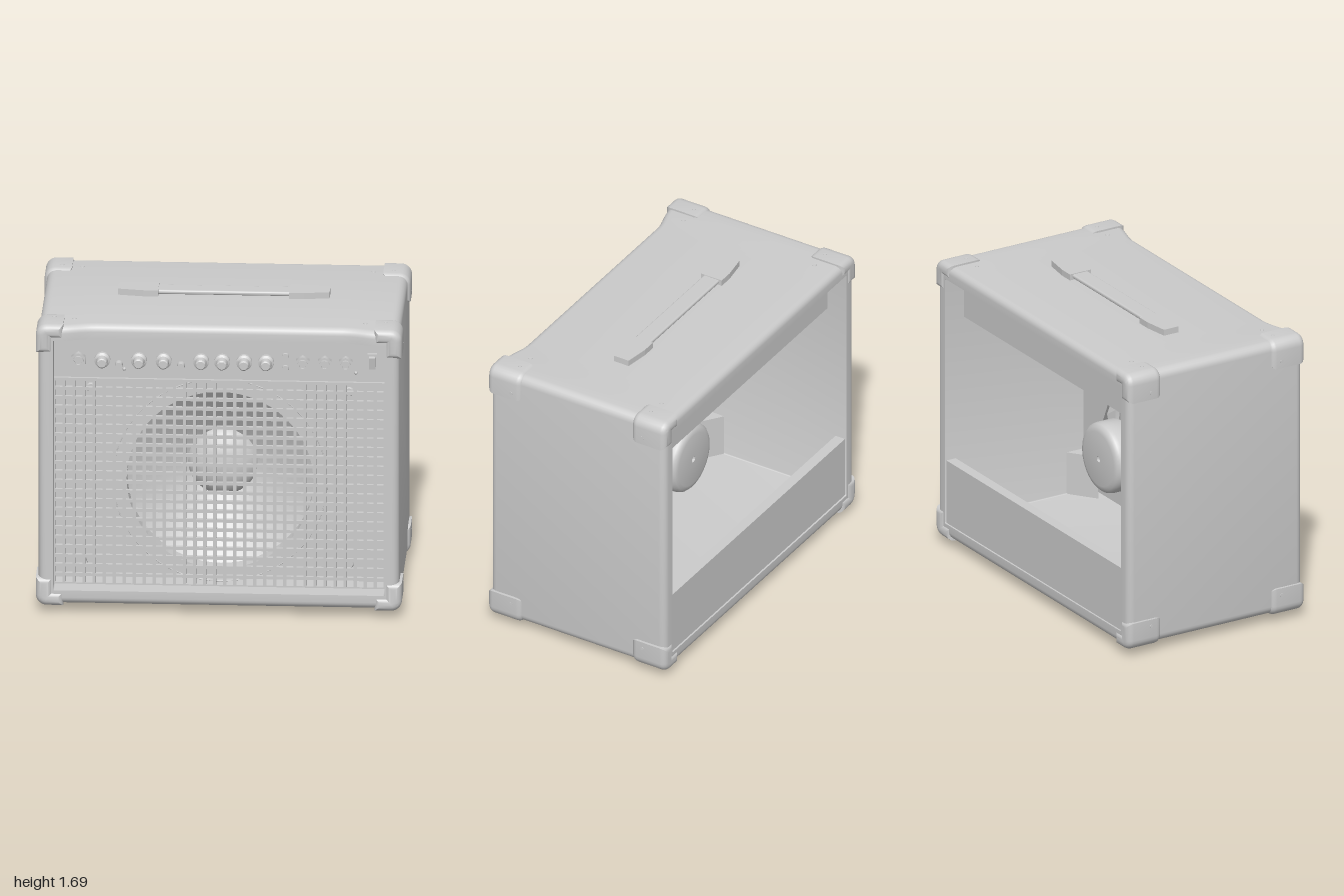
import * as THREE from 'three';
import { toCreasedNormals } from 'three/addons/utils/BufferGeometryUtils.js';
import { RoundedBoxGeometry } from 'three/addons/geometries/RoundedBoxGeometry.js';

const grey = new THREE.MeshStandardMaterial({ color: 0xcccccc });
const greyOpen = new THREE.MeshStandardMaterial({ color: 0xcccccc, side: THREE.DoubleSide });
const SPEAKER_Y = 0.735;

function add(parent, name, geometry, x = 0, y = 0, z = 0, material = grey) {
  const mesh = new THREE.Mesh(geometry, material);
  mesh.name = name;
  mesh.position.set(x, y, z);
  parent.add(mesh);
  return mesh;
}
const box = (w, h, d) => new THREE.BoxGeometry(w, h, d);
// Cylinder lying along z, its base at z = 0
const rod = (rBack, rFront, length, sides = 24) =>
  new THREE.CylinderGeometry(rFront, rBack, length, sides).rotateX(Math.PI / 2).translate(0, 0, length / 2);
// Lathe turned so that profile [radius, z] runs along z
const latheZ = (points, sides = 48, start = 0, sweep = Math.PI * 2) =>
  new THREE.LatheGeometry(points.map(p => new THREE.Vector2(...p)), sides, start, sweep).rotateX(Math.PI / 2);
const polygon = points => new THREE.Shape(points.map(p => new THREE.Vector2(...p)));
const rectangle = (x0, y0, x1, y1) => polygon([[x0, y0], [x1, y0], [x1, y1], [x0, y1]]);
const extrude = (shape, depth) => new THREE.ExtrudeGeometry(shape, { depth, bevelEnabled: false, curveSegments: 32 });

// Counter-clockwise rounded outline of the cabinet, moved inwards by d
function outline(d) {
  const w = 0.985 - d, h = 0.8025 - d, r = Math.max(0.05 - d, 0.006), points = [];
  const topEdge = [0.88, 0.85, 0.82, 0.79, 0.76, 0.73, 0.7, 0.67];
  [[1, 1, 0], [-1, 1, 1], [-1, -1, 2], [1, -1, 3]].forEach(([sx, sy, quarter]) => {
    for (let k = 0; k <= 6; k++) {
      const a = (quarter + k / 6) * Math.PI / 2;
      points.push([sx * (w - r) + r * Math.cos(a), 0.8525 + sy * (h - r) + r * Math.sin(a)]);
    }
    if (quarter === 0) [...topEdge, ...topEdge.map(x => -x).reverse()].forEach(x => points.push([x, 0.8525 + h]));
  });
  return points;
}

// Open box lofted from outlines; the front of the top panel is scooped back
function cabinetGeometry() {
  const sections = [], bevel = 0.04;
  for (let k = 0; k <= 5; k++) {
    const a = k / 5 * Math.PI / 2;
    sections.push([bevel * (1 - Math.sin(a)), -0.518 - bevel * Math.cos(a)]);
  }
  for (let k = 0; k <= 5; k++) {
    const a = k / 5 * Math.PI / 2;
    sections.push([bevel * (1 - Math.cos(a)), 0.522 + bevel * Math.sin(a)]);
  }
  sections.push([0.08, 0.562], [0.08, -0.558]);
  const position = [], index = [], n = outline(0).length, m = sections.length;
  for (const [d, z] of sections) {
    for (const [x, y] of outline(d)) {
      const scoop = y > 1.5 && z > 0.4 ? 0.042 * (1 - THREE.MathUtils.smoothstep(Math.abs(x), 0.67, 0.88)) : 0;
      position.push(x, y, z - scoop);
    }
  }
  for (let j = 0; j < m; j++) {
    for (let i = 0; i < n; i++) {
      const i2 = (i + 1) % n, j2 = (j + 1) % m;
      const a = j * n + i, b = j * n + i2, c = j2 * n + i2, e = j2 * n + i;
      index.push(a, b, c, a, c, e);
    }
  }
  const geometry = new THREE.BufferGeometry();
  geometry.setAttribute('position', new THREE.Float32BufferAttribute(position, 3));
  geometry.setIndex(index);
  return toCreasedNormals(geometry, 0.6);
}

// L-shaped corner cap with rounded outer edges
function cornerGeometry(sx, sy) {
  const points = [[0.85, 0.733], [0.907, 0.733], [0.907, 0.65], [1, 0.65]];
  for (let k = 0; k <= 6; k++) {
    const a = k / 6 * Math.PI / 2;
    points.push([0.94 + 0.06 * Math.cos(a), 0.753 + 0.06 * Math.sin(a)]);
  }
  points.push([0.85, 0.813]);
  const b = 0.036;
  const geometry = new THREE.ExtrudeGeometry(polygon(points.map(([x, y]) => [x * sx, y * sy])), {
    depth: 0.22 - 2 * b, bevelThickness: b, bevelSize: b, bevelOffset: -b, bevelSegments: 5 });
  return toCreasedNormals(geometry.translate(0, 0, b - 0.11), 0.6);
}

function buildSpeaker() {
  const speaker = new THREE.Group();
  speaker.name = 'speaker';
  speaker.position.y = SPEAKER_Y;
  add(speaker, 'speakerCone', latheZ([[0.17, 0.1], [0.27, 0.16], [0.38, 0.235], [0.46, 0.295], [0.515, 0.335]]), 0, 0, 0, greyOpen);
  add(speaker, 'dustCap', latheZ([[0.19, 0.112], [0.17, 0.15], [0.12, 0.18], [0.06, 0.197], [0, 0.202]]), 0, 0, 0, greyOpen);
  add(speaker, 'speakerRim', toCreasedNormals(latheZ([[0.53, 0.335], [0.53, 0.305], [0.575, 0.305], [0.583, 0.312], [0.583, 0.335]]), 0.5), 0, 0, 0, greyOpen);
  add(speaker, 'frontRing', new THREE.TorusGeometry(0.585, 0.003, 6, 64), 0, 0, 0.42);
  // Flat basket arms with open windows between them
  for (let k = 0; k < 8; k++) {
    add(speaker, 'basketArm', toCreasedNormals(latheZ([[0.17, 0.01], [0.24, 0.025], [0.56, 0.306]], 1, k * Math.PI / 4, 0.45), 0.3), 0, 0, 0, greyOpen);
  }
  add(speaker, 'basketHub', rod(0.16, 0.18, 0.09, 32), 0, 0, 0.01);
  const magnet = [[0, -0.12], [0.018, -0.12], [0.018, -0.135], [0.155, -0.135], [0.18, -0.128], [0.195, -0.112], [0.2, -0.09], [0.2, 0], [0.185, 0.03], [0, 0.03]];
  add(speaker, 'magnet', toCreasedNormals(latheZ(magnet), 0.6), 0, 0, 0, greyOpen);
  return speaker;
}

function buildControls() {
  const controls = new THREE.Group();
  controls.name = 'controls';
  const z = 0.465, y = 1.44;
  add(controls, 'controlPanel', box(1.81, 0.25, 0.03), 0, 1.452, 0.45);
  add(controls, 'panelLip', box(1.81, 0.014, 0.04), 0, 1.327, 0.462);
  const knob = toCreasedNormals(latheZ([[0.043, 0], [0.043, 0.022], [0.031, 0.03], [0.028, 0.074], [0.022, 0.08], [0, 0.08]], 24), 0.5);
  for (const x of [-0.64, -0.44, -0.305, -0.1, 0.015, 0.135, 0.255]) add(controls, 'knob', knob, x, y, z);
  const collar = toCreasedNormals(latheZ([[0.028, 0], [0.028, 0.05], [0.019, 0.05], [0.019, 0]], 20), 0.5);
  for (const x of [-0.77, 0.455, 0.575, 0.69]) {
    add(controls, 'jackNut', rod(0.043, 0.043, 0.035, 6), x, y, z);
    add(controls, 'jackCollar', collar, x, y, z);
  }
  for (const x of [-0.55, -0.21]) add(controls, 'pushButton', rod(0.022, 0.019, 0.035, 16), x, 1.413, z);
  for (const dy of [1.475, 1.405]) add(controls, 'smallSocket', rod(0.02, 0.018, 0.014, 16), 0.36, dy, z);
  for (const x of [-0.52, 0.745]) add(controls, 'indicator', new THREE.SphereGeometry(0.01, 10, 8), x, 1.385, z);
  add(controls, 'switchFrame', box(0.052, 0.095, 0.03), 0.835, 1.455, z + 0.012);
  add(controls, 'switchRocker', box(0.034, 0.07, 0.024), 0.835, 1.455, z + 0.025).rotation.x = 0.2;
  return controls;
}

function buildHandle() {
  const handle = new THREE.Group();
  handle.name = 'handle';
  handle.position.set(0, 1.65, -0.028);
  for (const s of [-1, 1]) {
    const plan = polygon([[0.358, -0.067], [0.44, -0.067], [0.578, -0.047], [0.578, 0.047], [0.44, 0.067], [0.358, 0.067]].map(([x, v]) => [x * s, v]));
    add(handle, 'handleEnd', extrude(plan, 0.04).rotateX(-Math.PI / 2));
  }
  add(handle, 'handleStrap', new RoundedBoxGeometry(0.76, 0.024, 0.1, 3, 0.01), 0, 0.024, 0);
  return handle;
}

export function createModel() {
  const model = new THREE.Group();
  model.name = 'guitarAmplifier';
  add(model, 'cabinet', cabinetGeometry());

  // Corner caps, screws and feet
  const screw = new THREE.CylinderGeometry(0.01, 0.012, 0.006, 10);
  for (const sx of [-1, 1]) for (const sz of [-1, 1]) {
    for (const sy of [-1, 1]) {
      add(model, 'cornerCap', cornerGeometry(sx, sy), 0, 0.8525, sz * 0.461 + 0.003);
      add(model, 'capSideScrew', screw, sx * 0.998, 0.8525 + sy * 0.69, sz * 0.42).rotation.z = -sx * Math.PI / 2;
      add(model, 'capScrew', screw, sx * 0.905, 0.8525 + sy * 0.813, sz * 0.42).rotation.x = sy > 0 ? 0 : Math.PI;
    }
    add(model, 'topScrew', screw, sx * 0.795, 1.656, sz * 0.42);
    add(model, 'foot', new THREE.CylinderGeometry(0.077, 0.077, 0.06, 32), sx * 0.665, 0.03, sz * 0.285);
  }

  // Baffle with the speaker opening, braced by triangular corner blocks
  const baffle = rectangle(-0.906, 0.17, 0.906, 1.335);
  baffle.holes.push(new THREE.Path().absarc(0, SPEAKER_Y, 0.51, 0, Math.PI * 2, true));
  add(model, 'baffle', extrude(baffle, 0.085), 0, 0, 0.335);
  for (const s of [-1, 1]) {
    for (const y of [0.265, 1.26]) add(model, 'baffleScrew', rod(0.027, 0.022, 0.012, 16), s * 0.705, y, 0.42);
    const block = polygon([[s * 0.906, -0.336], [s * 0.906, -0.225], [s * 0.755, -0.336]]);
    add(model, 'cornerBlock', extrude(block, 0.25).rotateX(-Math.PI / 2), 0, 0.125, 0);
  }
  model.add(buildSpeaker());

  // Grille of square openings
  const columns = 33, rows = 22, px = 1.81 / columns, py = 1.185 / rows;
  const grille = rectangle(-0.905, 0.135, 0.905, 1.32);
  for (let c = 0; c < columns; c++) for (let r = 0; r < rows; r++) {
    const x = -0.905 + (c + 0.5) * px, y = 0.135 + (r + 0.5) * py, h = 0.0185;
    grille.holes.push(new THREE.Path([[x - h, y - h], [x - h, y + h], [x + h, y + h], [x + h, y - h]].map(p => new THREE.Vector2(...p))));
  }
  add(model, 'grille', extrude(grille, 0.02), 0, 0, 0.444);

  model.add(buildControls(), buildHandle());

  // Parts inside the open back
  add(model, 'chassis', box(1.76, 0.21, 0.89), 0, 1.44, -0.005);
  add(model, 'backPanel', box(1.812, 0.37, 0.06), 0, 0.313, -0.518);
  add(model, 'socketBox', box(0.16, 0.15, 0.1), 0.58, 1.26, -0.17);
  for (const s of [0, 0.045]) {
    const path = new THREE.CatmullRomCurve3([[-0.13, 0.86, 0.06], [-0.17, 0.93, -0.05], [-0.3, 1.1, -0.1], [-0.36, 1.34, -0.1]].map(([x, y, z]) => new THREE.Vector3(x - s, y - s * 0.4, z)));
    add(model, 'speakerWire', new THREE.TubeGeometry(path, 20, 0.009, 8));
  }
  return model;
}
